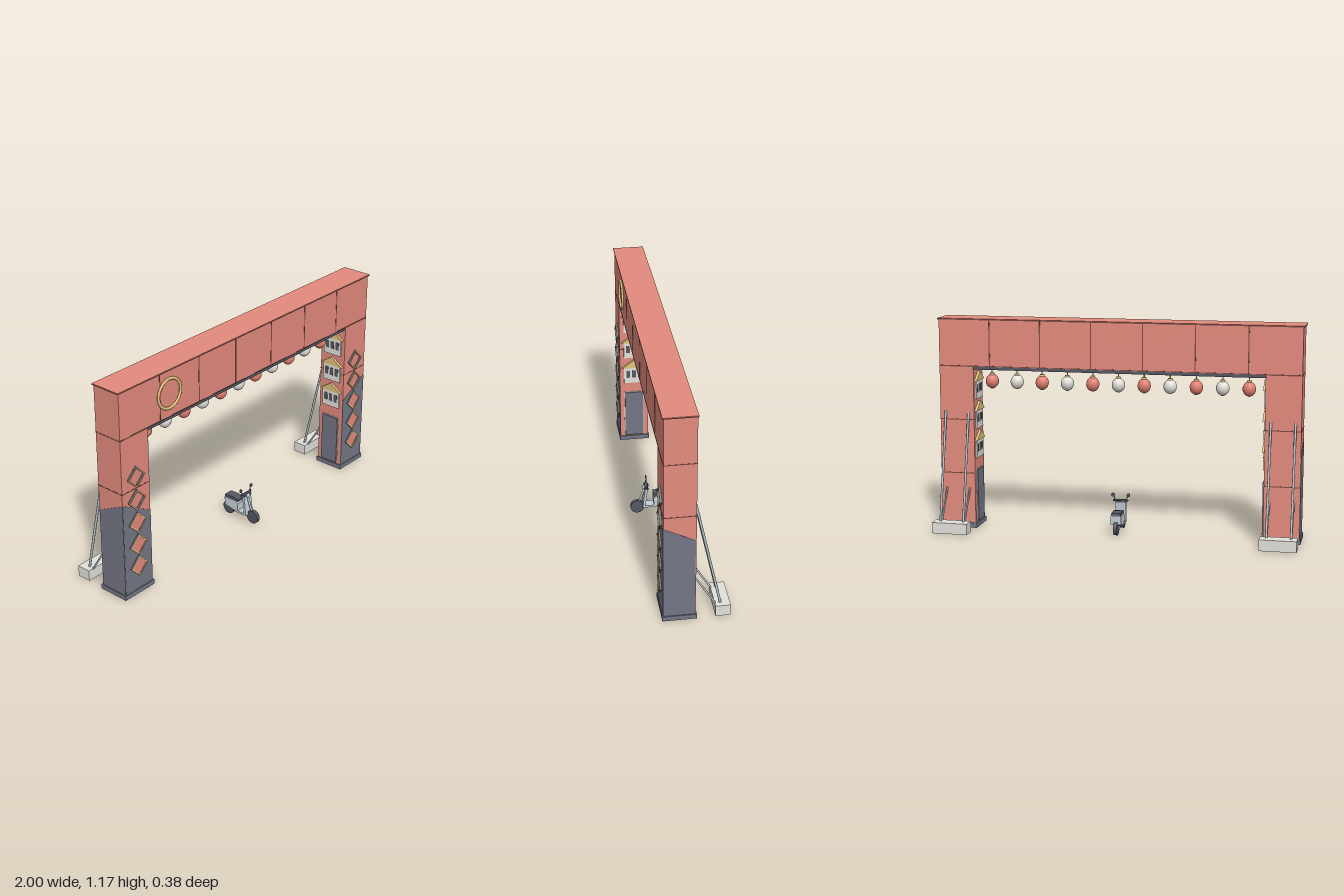
import * as THREE from 'three';

const mat = (name, hex, double) => {
  const m = new THREE.MeshStandardMaterial({ color: hex });
  m.name = name;
  if (double) m.side = THREE.DoubleSide;
  return m;
};
const red = mat('brick red', 0xe48b7e);
const lanternRed = mat('lantern red', 0xe27f70);
const seam = mat('brown', 0x7c4a43);
const slate = mat('slate', 0x747686, true);
const dark = mat('charcoal', 0x555763);
const tan = mat('brass', 0xe0c27c);
const concrete = mat('concrete', 0xe3e1da);
const steel = mat('steel', 0xb9c5cb);
const body = mat('pale blue', 0xc6d2d9);

const ZF = 0.15, ZB = -0.013, ZM = (ZF + ZB) / 2;

function add(parent, name, geo, material, x = 0, y = 0, z = 0) {
  const m = new THREE.Mesh(geo, material);
  m.name = name;
  m.position.set(x, y, z);
  parent.add(m);
  return m;
}
// Box given by its lower and upper limits
function box(parent, name, material, x0, x1, y0, y1, z0, z1) {
  return add(parent, name, new THREE.BoxGeometry(x1 - x0, y1 - y0, z1 - z0), material,
    (x0 + x1) / 2, (y0 + y1) / 2, (z0 + z1) / 2);
}
// Round bar between two points
function bar(parent, name, material, a, b, r, sides = 10) {
  const p = new THREE.Vector3(...a), q = new THREE.Vector3(...b);
  const d = q.clone().sub(p);
  const m = add(parent, name, new THREE.CylinderGeometry(r, r, d.length(), sides), material);
  m.position.copy(p).add(q).multiplyScalar(0.5);
  m.quaternion.setFromUnitVectors(new THREE.Vector3(0, 1, 0), d.normalize());
  return m;
}
const poly = pts => new THREE.Shape(pts.map(p => new THREE.Vector2(...p)));
const plate = (shape, depth) => new THREE.ExtrudeGeometry(shape, { depth, bevelEnabled: false });
const diamond = r => [[0, -r], [r, 0], [0, r], [-r, 0]];

function diamondFrame(r, inner, depth) {
  const shape = poly(diamond(r));
  shape.holes.push(new THREE.Path(diamond(inner).map(p => new THREE.Vector2(...p))));
  return plate(shape, depth);
}

// Little house relief, drawn in xy and facing +z
function house(parent, y) {
  const g = new THREE.Group();
  g.name = 'houseRelief';
  box(g, 'houseWall', concrete, -0.058, 0.058, 0, 0.105, 0, 0.008);
  for (const x of [-0.034, 0, 0.034])
    box(g, 'houseWindow', dark, x - 0.011, x + 0.011, 0.035, 0.08, 0.008, 0.0095);
  add(g, 'houseRoof', plate(poly([[-0.072, 0.1], [0.072, 0.1], [0, 0.15]]), 0.014), tan);
  g.position.y = y;
  parent.add(g);
}

// One pillar; s = 1 for the left, -1 for the right
function pillar(s) {
  const g = new THREE.Group();
  g.name = s > 0 ? 'leftPillar' : 'rightPillar';
  const cx = 0.894 * s, h = 0.096;
  const span = (name, m, half, ...r) => box(g, name, m, cx - half, cx + half, ...r);
  span('pillarShaft', red, h, 0, 0.905, ZB, ZF);
  span('pillarPlinth', slate, 0.104, 0.002, 0.028, ZB - 0.005, ZF + 0.006);
  span('plinthUnderside', red, 0.1, 0, 0.002, ZB - 0.003, ZF + 0.004);
  span('pillarSeam', seam, h + 0.001, 0.607, 0.612, ZB - 0.001, ZF + 0.001);
  span('pillarBackSeam', seam, h - 0.001, 0.307, 0.312, ZB - 0.001, ZB + 0.003);
  span('pillarTopJoint', seam, h + 0.001, 0.902, 0.907, ZB - 0.001, ZF + 0.001);

  // Sloping painted zone on the front and outer faces
  add(g, 'frontPaint', plate(poly([[-h * s, 0.02], [h * s, 0.02], [h * s, 0.55], [-h * s, 0.445]]), 0.002),
    slate, cx, 0, ZF);
  const side = add(g, 'outerPaint',
    plate(poly([[-ZF, 0.02], [-ZB - 0.004, 0.02], [-ZB - 0.004, 0.468], [-ZF, 0.548]]), 0.002),
    slate, cx + s * h - (s < 0 ? 0.002 : 0));
  side.rotation.y = Math.PI / 2;

  // Diamond ornaments: dark backing with a brass face
  [0.165, 0.29, 0.418, 0.546, 0.675].forEach((y, i) => {
    add(g, 'diamondBacking', diamondFrame(0.06, 0.05, 0.009), dark, cx, y, ZF);
    add(g, 'diamondFrame', diamondFrame(0.06, 0.05, 0.002), tan, cx, y, ZF + 0.009);
    if (i < 3) add(g, 'diamondFill', plate(poly(diamond(0.051)), 0.007), red, cx, y, ZF);
  });

  // Inner face: door panel and three houses
  const inner = new THREE.Group();
  inner.name = 'innerRelief';
  inner.position.set(cx - s * h, 0, ZM);
  inner.rotation.y = -s * Math.PI / 2;
  box(inner, 'doorFrame', concrete, -0.058, 0.058, 0.032, 0.328, 0, 0.002);
  box(inner, 'doorPanel', slate, -0.054, 0.054, 0.036, 0.324, 0.002, 0.009);
  for (let i = 0; i < 3; i++) house(inner, 0.39 + 0.165 * i);
  g.add(inner);

  // Rear ballast and braces
  span('ballastBlock', concrete, 0.099, 0.003, 0.063, -0.19, -0.113);
  for (const x of [cx - 0.065, cx + 0.065]) {
    bar(g, 'longBrace', steel, [x, 0.655, ZB], [x, 0.055, -0.143], 0.0065);
    bar(g, 'shortBrace', steel, [x, 0.225, ZB], [x, 0.05, -0.122], 0.005);
  }
  return g;
}

function beam() {
  const g = new THREE.Group();
  g.name = 'crossBeam';
  box(g, 'beamBox', red, -0.99, 0.99, 0.904, 1.158, ZB, ZF);
  box(g, 'beamTrim', seam, -0.998, 0.998, 1.158, 1.163, ZB - 0.004, ZF + 0.006);
  box(g, 'beamRoof', red, -0.998, 0.998, 1.163, 1.1655, ZB - 0.004, ZF + 0.006);
  for (let i = 0; i < 6; i++) {
    const x = -0.707 + i * 0.2825;
    box(g, 'beamSeam', seam, x - 0.003, x + 0.003, 0.907, 1.157, ZB - 0.001, ZF + 0.001);
  }
  // Lower trim on the front and back faces only
  for (const z of [ZB, ZF])
    box(g, 'beamLowerTrim', seam, -0.99, 0.99, 0.905, 0.909, z - 0.0015, z + 0.0015);
  for (const z of [ZB + 0.012, 0.04, ZF - 0.012])
    box(g, 'underRail', dark, -0.797, 0.797, 0.887, 0.904, z - 0.007, z + 0.007);

  // Ring emblem
  add(g, 'ringOrnament', new THREE.TorusGeometry(0.079, 0.008, 10, 40).scale(1, 1, 0.8),
    tan, -0.643, 1.035, ZF + 0.004);
  return g;
}

function lanterns() {
  const g = new THREE.Group();
  g.name = 'lanterns';
  const ball = new THREE.SphereGeometry(0.036, 18, 12).scale(1, 1.1, 1);
  const cap = new THREE.CylinderGeometry(0.012, 0.015, 0.01, 12);
  for (let i = 0; i < 11; i++) {
    const x = (i - 5) * 0.1413;
    add(g, 'lantern', ball, i % 2 ? concrete : lanternRed, x, 0.82, 0.04);
    add(g, 'lanternCap', cap, tan, x, 0.86, 0.04);
    add(g, 'lanternBase', cap, tan, x, 0.783, 0.04).scale.setScalar(0.6);
    bar(g, 'lanternCord', tan, [x, 0.862, 0.04], [x, 0.89, 0.04], 0.003, 6);
  }
  return g;
}

function scooter() {
  const g = new THREE.Group();
  g.name = 'scooter';
  for (const z of [0.154, -0.016])
    add(g, 'wheel', new THREE.CylinderGeometry(0.038, 0.038, 0.02, 20).rotateZ(Math.PI / 2), dark, 0, 0.04, z);
  // Bodywork, extruded across the width from a side profile (z, y)
  const across = (name, m, w, pts) => {
    const mesh = add(g, name, plate(poly(pts.map(([z, y]) => [-z, y])), w), m, -w / 2);
    mesh.rotation.y = Math.PI / 2;
  };
  across('rearBody', body, 0.056, [[-0.028, 0.062], [0.062, 0.045], [0.066, 0.1], [0.05, 0.112], [-0.03, 0.11]]);
  across('floorBoard', body, 0.052, [[0.05, 0.042], [0.122, 0.042], [0.122, 0.053], [0.05, 0.053]]);
  across('legShield', body, 0.058, [[0.112, 0.045], [0.126, 0.045], [0.112, 0.158], [0.098, 0.158]]);
  across('handlebarCover', dark, 0.058, [[0.095, 0.158], [0.116, 0.158], [0.112, 0.174], [0.098, 0.174]]);
  across('seat', dark, 0.05, [[-0.032, 0.11], [0.064, 0.11], [0.066, 0.122], [0.03, 0.128], [-0.028, 0.126]]);
  bar(g, 'frontFork', body, [0, 0.05, 0.15], [0, 0.16, 0.11], 0.006);
  bar(g, 'handlebar', dark, [-0.042, 0.17, 0.1], [0.042, 0.17, 0.1], 0.005);
  add(g, 'headlight', new THREE.SphereGeometry(0.012, 14, 10), steel, 0, 0.16, 0.116);
  for (const s of [-1, 1]) {
    bar(g, 'mirrorStem', dark, [0.028 * s, 0.17, 0.1], [0.042 * s, 0.198, 0.1], 0.0025, 6);
    add(g, 'mirror', new THREE.CylinderGeometry(0.01, 0.01, 0.005, 14).rotateX(Math.PI / 2), dark, 0.043 * s, 0.2, 0.1);
  }
  return g;
}

export function createModel() {
  const model = new THREE.Group();
  model.name = 'streetGateway';
  model.add(pillar(1), pillar(-1), beam(), lanterns(), scooter());
  return model;
}
